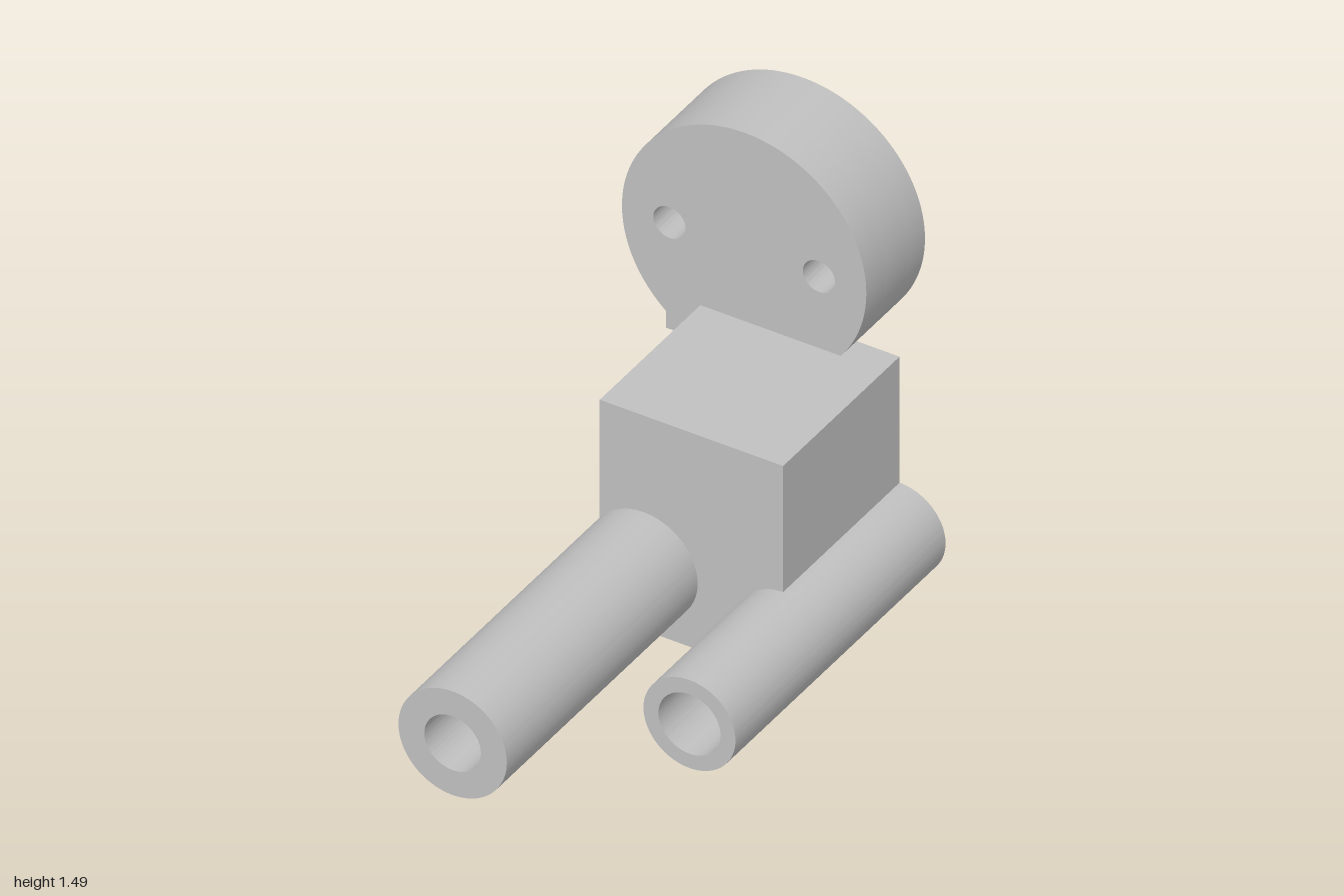
import * as THREE from 'three';
import { toCreasedNormals } from 'three/addons/utils/BufferGeometryUtils.js';

export function createModel() {
  const model = new THREE.Group();
  const grey = new THREE.MeshStandardMaterial({ color: 0xc0c0c0 });
  grey.name = 'plain grey';

  // Extrudes an outline, pierced by [x, y, radius] holes, from z0 to z1
  function plate(name, shape, holes, z0, z1, parent = model) {
    for (const [x, y, r] of holes) {
      shape.holes.push(new THREE.Path().absarc(x, y, r, 0, Math.PI * 2, true));
    }
    const extruded = new THREE.ExtrudeGeometry(shape, {
      depth: z1 - z0, bevelEnabled: false, curveSegments: 64,
    });
    const mesh = new THREE.Mesh(toCreasedNormals(extruded, 0.5), grey);
    mesh.position.z = z0;
    mesh.name = name;
    parent.add(mesh);
  }
  const circle = (x, y, r) => new THREE.Shape().absarc(x, y, r, 0, Math.PI * 2, false);

  // Disc: two counterbored through holes and a blind centre hole at the back
  const disc = new THREE.Group();
  disc.name = 'disc';
  model.add(disc);
  const cx = -0.115, cy = 1.06, spread = 0.265;
  const pair = (r) => [[cx - spread, cy, r], [cx + spread, cy, r]];
  const centre = [cx, cy, 0.09];
  plate('discBack', circle(cx, cy, 0.433), [...pair(0.1), centre], -1, -0.9, disc);
  plate('discMiddle', circle(cx, cy, 0.433), [...pair(0.057), centre], -0.9, -0.77, disc);
  plate('discFront', circle(cx, cy, 0.433), pair(0.057), -0.77, -0.665, disc);

  // Tab below the disc, its top following the disc's rim
  const tab = new THREE.Shape();
  const rim = Math.PI + Math.asin((cy - 0.884) / 0.433);
  tab.moveTo(-0.51, 0.505);
  tab.lineTo(cx, 0.505);
  tab.lineTo(cx, cy - 0.433);
  tab.absarc(cx, cy, 0.433, Math.PI * 1.5, rim, true);
  tab.closePath();
  plate('tab', tab, [], -1, -0.855);

  // Block, with a round notch that seats the short tube
  function blockOutline() {
    const s = new THREE.Shape();
    s.moveTo(-0.27, 0);
    s.lineTo(0.38, 0);
    s.lineTo(0.38, 0.002);
    s.absarc(0.38, 0.165, 0.163, -Math.PI / 2, Math.PI / 2, true);
    s.lineTo(0.38, 0.795);
    s.lineTo(-0.27, 0.795);
    s.closePath();
    return s;
  }
  const block = new THREE.Group();
  block.name = 'block';
  model.add(block);
  plate('blockBody', blockOutline(), [[cx, 0.245, 0.078]], -0.755, -0.13, block);
  plate('blockFace', blockOutline(), [[cx, 0.245, 0.15]], -0.13, -0.09, block);

  // Tubes
  plate('longTube', circle(cx, 0.245, 0.192), [[cx, 0.245, 0.1]], -0.13, 1);
  plate('shortTube', circle(0.38, 0.165, 0.163), [[0.38, 0.165, 0.11]], -0.755, 0.445);

  return model;
}
